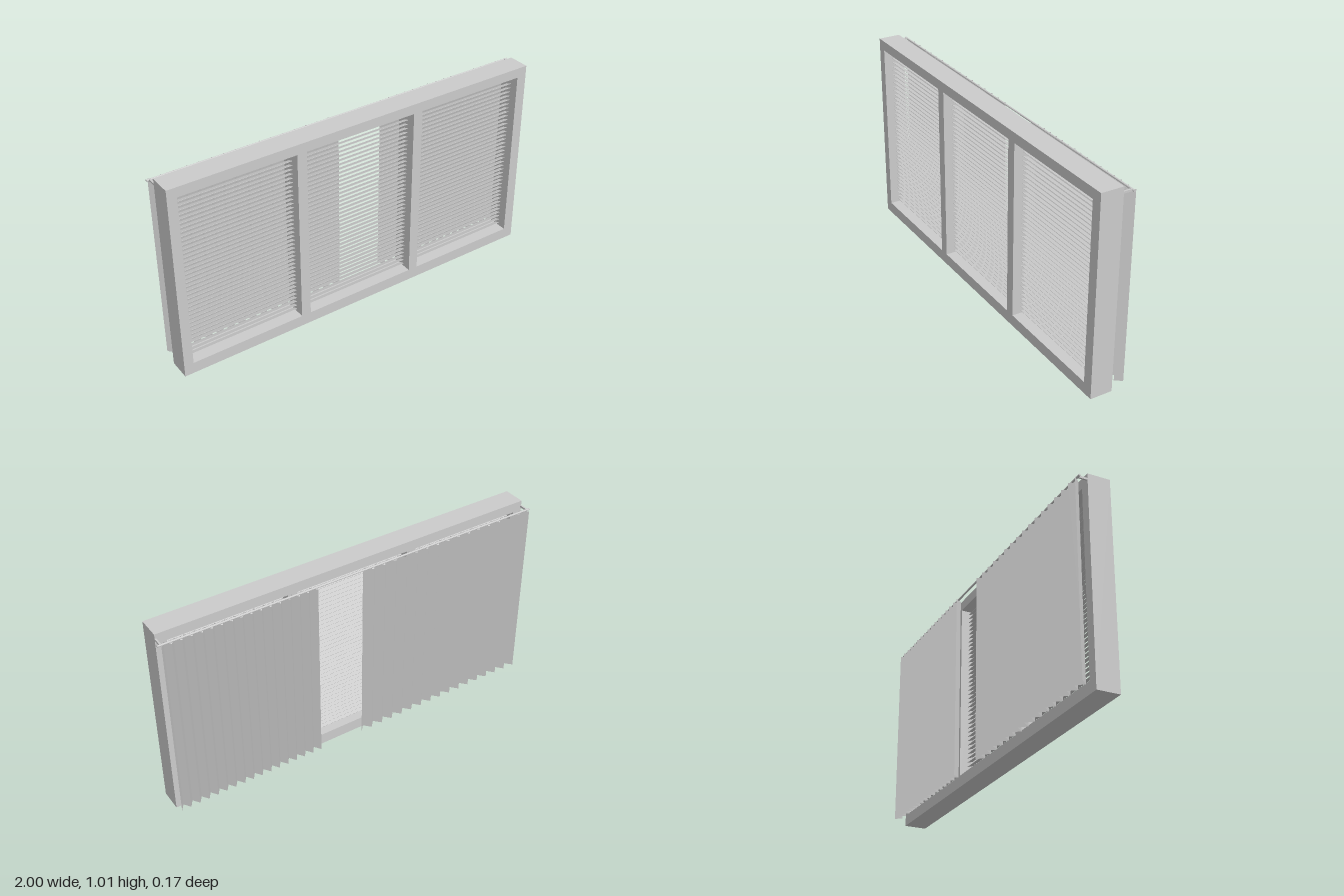
import * as THREE from 'three';

const material = new THREE.MeshStandardMaterial({ color: 0xcccccc, flatShading: true, side: THREE.DoubleSide });

// Clear openings of the three lights: [left, right] in x, shared bottom and top
const OPENINGS = [[-0.94, -0.35], [-0.3, 0.295], [0.345, 0.935]];
const BOTTOM = 0.058, TOP = 0.96;

function add(parent, name, geometry, x = 0, y = 0, z = 0) {
  const mesh = new THREE.Mesh(geometry, material);
  mesh.name = name;
  mesh.position.set(x, y, z);
  parent.add(mesh);
  return mesh;
}

function rectangle(target, x0, y0, x1, y1) {
  target.moveTo(x0, y0);
  target.lineTo(x1, y0);
  target.lineTo(x1, y1);
  target.lineTo(x0, y1);
  target.closePath();
  return target;
}

// Frame with three rectangular holes
function buildFrame(parent) {
  const shape = rectangle(new THREE.Shape(), -0.988, 0, 0.988, 1.01);
  for (const [x0, x1] of OPENINGS) shape.holes.push(rectangle(new THREE.Path(), x0, BOTTOM, x1, TOP));
  add(parent, 'windowFrame', new THREE.ExtrudeGeometry(shape, { depth: 0.112, bevelEnabled: false }), 0, 0, -0.0245);
}

// Horizontal slats, front edge raised
function buildBlinds(parent) {
  const count = 40, pitch = (TOP - BOTTOM) / count;
  for (const [x0, x1] of OPENINGS) {
    const blind = new THREE.Group();
    blind.name = 'slattedBlind';
    const slat = new THREE.BoxGeometry(x1 - x0, 0.0015, 0.03);
    for (let i = 0; i < count; i++) {
      const mesh = add(blind, 'slat', slat, (x0 + x1) / 2, BOTTOM + (i + 0.5) * pitch, 0.03);
      mesh.rotation.x = -0.35;
    }
    parent.add(blind);
  }
}

// Pleated curtain: a zigzag run of thin panels
function buildCurtain(parent, name, x0, x1, pleats) {
  const geometry = new THREE.PlaneGeometry(x1 - x0, 0.95, pleats * 2, 1);
  const p = geometry.attributes.position;
  const columns = pleats * 2 + 1;
  for (let i = 0; i < p.count; i++) p.setZ(i, (i % columns) % 2 ? -0.052 : -0.086);
  const flat = geometry.toNonIndexed();
  flat.computeVertexNormals();
  add(parent, name, flat, (x0 + x1) / 2, 0.505, 0);
}

// Rod and the brackets that hold it to the frame
function buildRod(parent) {
  const rod = add(parent, 'curtainRod', new THREE.CylinderGeometry(0.005, 0.005, 2, 10), 0, 0.982, -0.07);
  rod.rotation.z = Math.PI / 2;
  for (const side of [-1, 1]) {
    add(parent, 'rodBracket', new THREE.BoxGeometry(0.008, 0.01, 0.05), side * 0.984, 0.982, -0.047);
  }
}

export function createModel() {
  const group = new THREE.Group();
  group.name = 'windowWithBlindsAndCurtains';
  buildFrame(group);
  buildBlinds(group);
  buildCurtain(group, 'rightCurtain', -0.987, -0.012, 16);
  buildCurtain(group, 'leftCurtain', 0.225, 0.987, 16);
  buildRod(group);
  return group;
}
